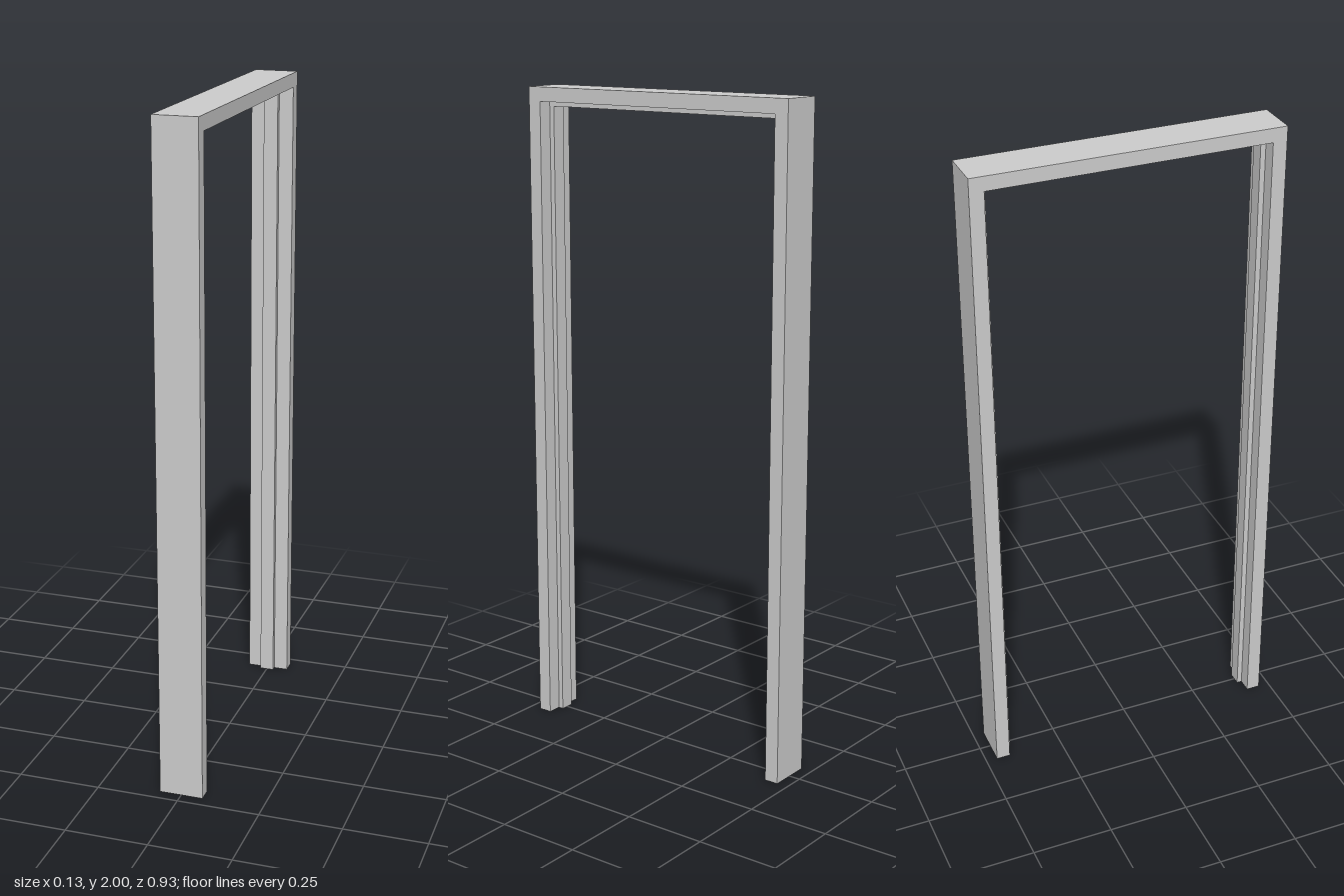
import * as THREE from 'three';

const HEIGHT = 2, HALF_SPAN = 0.465, HALF_DEPTH = 0.066;
const LINING = 0.043, STOP = 0.059, STOP_HALF = 0.022;

// Jamb section as (x, inset from the outer edge): a flat lining with a raised door stop
const section = [
  [-HALF_DEPTH, 0], [HALF_DEPTH, 0], [HALF_DEPTH, LINING], [STOP_HALF, LINING],
  [STOP_HALF, STOP], [-STOP_HALF, STOP], [-STOP_HALF, LINING], [-HALF_DEPTH, LINING],
].map(([x, d]) => new THREE.Vector2(x, d));

// Section copies at the two feet and the two mitred corners
function ring(side, atTop) {
  return section.map(({ x, y: d }) =>
    new THREE.Vector3(x, atTop ? HEIGHT - d : 0, side * (HALF_SPAN - d)));
}

function frameGeometry() {
  const rings = [ring(1, false), ring(1, true), ring(-1, true), ring(-1, false)];
  const points = [];
  // Left leg, head and right leg
  for (let r = 0; r < 3; r++) {
    for (let i = 0; i < section.length; i++) {
      const j = (i + 1) % section.length;
      const a = rings[r][i], b = rings[r][j], c = rings[r + 1][j], d = rings[r + 1][i];
      points.push(a, b, c, a, c, d);
    }
  }
  // Undersides of the feet
  for (const [a, b, c] of THREE.ShapeUtils.triangulateShape(section, [])) {
    points.push(rings[0][c], rings[0][b], rings[0][a]);
    points.push(rings[3][a], rings[3][b], rings[3][c]);
  }
  const geometry = new THREE.BufferGeometry().setFromPoints(points);
  geometry.computeVertexNormals();
  return geometry;
}

export function createModel() {
  const group = new THREE.Group();
  group.name = 'doorway';
  const material = new THREE.MeshStandardMaterial({ color: 0xcccccc, flatShading: true });
  const frame = new THREE.Mesh(frameGeometry(), material);
  frame.name = 'doorFrame';
  group.add(frame);
  return group;
}
